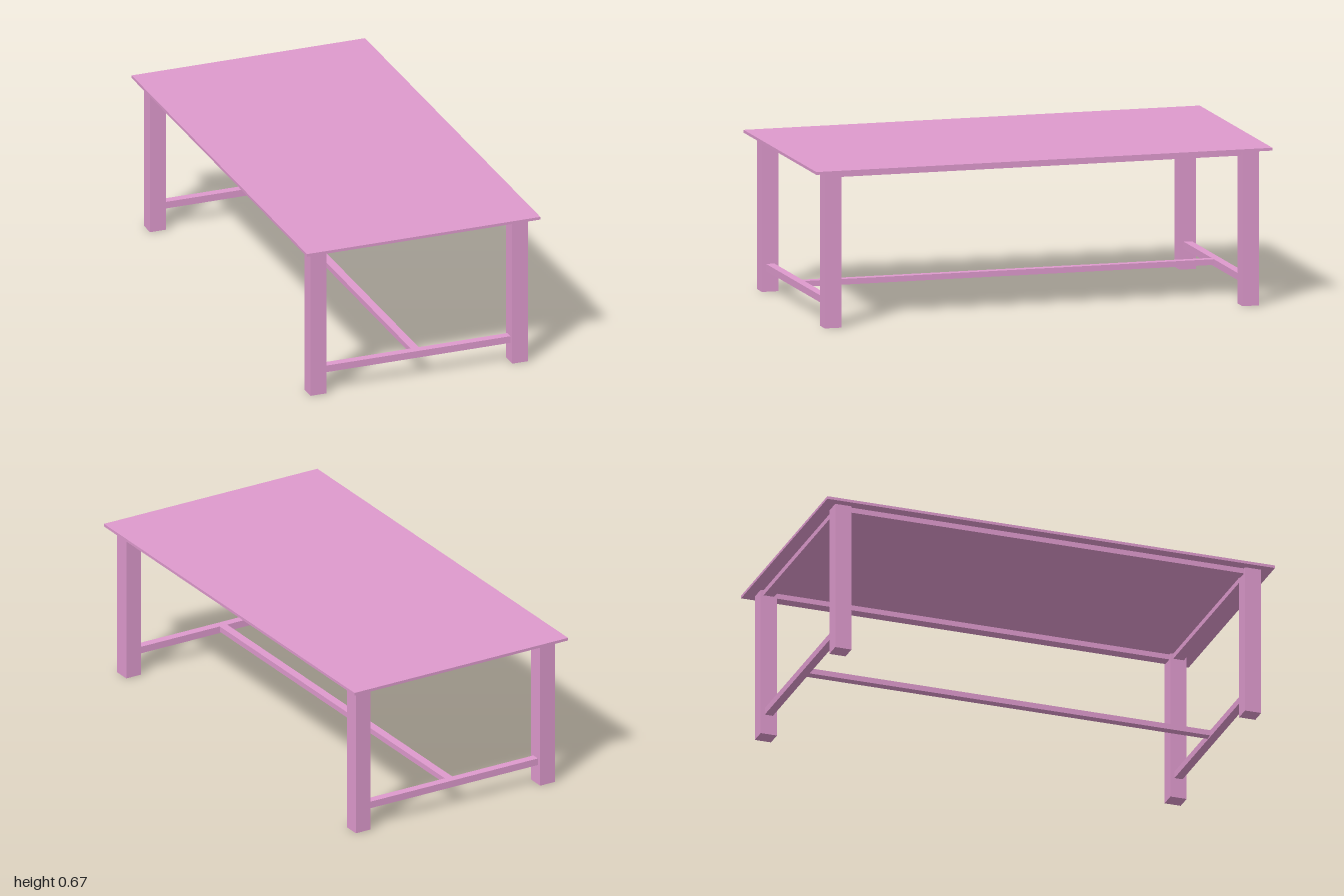
import * as THREE from 'three';

export function createModel() {
  const group = new THREE.Group();
  group.name = 'table';
  const material = new THREE.MeshStandardMaterial({ color: 0xdd99cc });

  // Box spanning y0..y1, centred on (x, z)
  function box(name, width, depth, y0, y1, x = 0, z = 0) {
    const mesh = new THREE.Mesh(new THREE.BoxGeometry(width, y1 - y0, depth), material);
    mesh.name = name;
    mesh.position.set(x, (y0 + y1) / 2, z);
    group.add(mesh);
  }

  const top = 0.672, under = 0.66, apronBottom = 0.637;
  const legX = 0.4525, legZ = 0.911, leg = 0.072;
  const apron = 0.047, rail = 0.036;
  const spanX = 2 * legX - leg, spanZ = 2 * legZ - leg;

  box('tabletop', 1.048, 1.99, under, top);

  for (const s of [1, -1]) {
    const end = s > 0 ? 'front' : 'back';
    const side = s > 0 ? 'left' : 'right';

    // Legs at this end
    box(end + 'LeftLeg', leg, leg, 0, under, legX, s * legZ);
    box(end + 'RightLeg', leg, leg, 0, under, -legX, s * legZ);

    // Aprons under the top
    box(end + 'Apron', spanX, apron, apronBottom, under, 0, s * legZ);
    box(side + 'Apron', apron, spanZ, apronBottom, under, s * legX, 0);

    // Low rail between the two legs
    box(end + 'Stretcher', spanX, rail, 0.088, 0.118, 0, s * legZ);
  }

  // Long rail joining the two end stretchers
  box('centreStretcher', rail, 2 * legZ - rail, 0.094, 0.118);

  // The table stands very slightly turned
  group.rotation.y = -0.009;
  return group;
}
